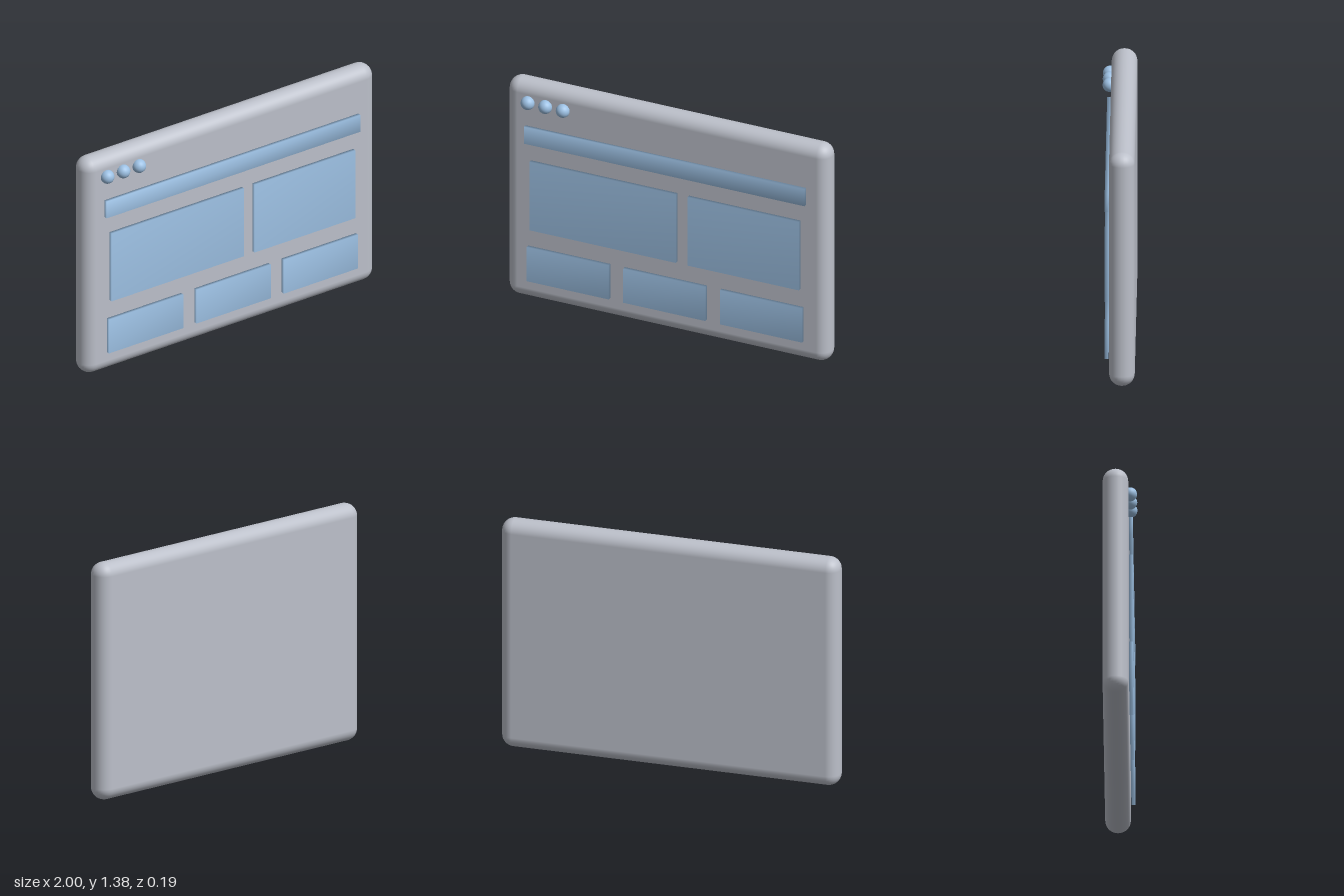
import * as THREE from 'three';
import { RoundedBoxGeometry } from 'three/addons/geometries/RoundedBoxGeometry.js';
import { mergeVertices } from 'three/addons/utils/BufferGeometryUtils.js';

// Box whose corners share normals, giving a soft pillowed shading
function softBox(w, h, d) {
  const box = new THREE.BoxGeometry(w, h, d);
  box.deleteAttribute('normal');
  box.deleteAttribute('uv');
  const geometry = mergeVertices(box);
  geometry.computeVertexNormals();
  return geometry;
}

export function createModel() {
  const model = new THREE.Group();
  model.name = 'windowPanel';

  const grey = new THREE.MeshStandardMaterial({ color: 0xbcc0ca });
  grey.name = 'pale grey';
  const blue = new THREE.MeshStandardMaterial({ color: 0x9dc1e4 });
  blue.name = 'light blue';

  function add(name, geometry, material, x, y, z) {
    const mesh = new THREE.Mesh(geometry, material);
    mesh.name = name;
    mesh.position.set(x, y, z);
    model.add(mesh);
  }

  // Rounded backing slab
  add('backPanel', new RoundedBoxGeometry(2, 1.38, 0.145, 4, 0.0715), grey, 0, 0.69, -0.0245);

  // Content plates standing just off the front: name, x from/to, y from/to
  const plates = [
    ['addressBar', -0.874, 0.869, 1.005, 1.112],
    ['largePlate', -0.84, 0.07, 0.46, 0.896],
    ['mediumPlate', 0.142, 0.834, 0.46, 0.896],
    ['smallPlateRight', -0.858, -0.348, 0.131, 0.348],
    ['smallPlateMiddle', -0.257, 0.253, 0.131, 0.348],
    ['smallPlateLeft', 0.343, 0.853, 0.131, 0.348],
  ];
  for (const [name, x0, x1, y0, y1] of plates) {
    add(name, softBox(x1 - x0, y1 - y0, 0.022), blue, (x0 + x1) / 2, (y0 + y1) / 2, 0.062);
  }

  // Row of round buttons
  const ball = new THREE.SphereGeometry(0.04, 24, 16);
  for (let i = 0; i < 3; i++) {
    add(`button${i + 1}`, ball, blue, -0.858 + i * 0.109, 1.261, 0.057);
  }

  return model;
}
